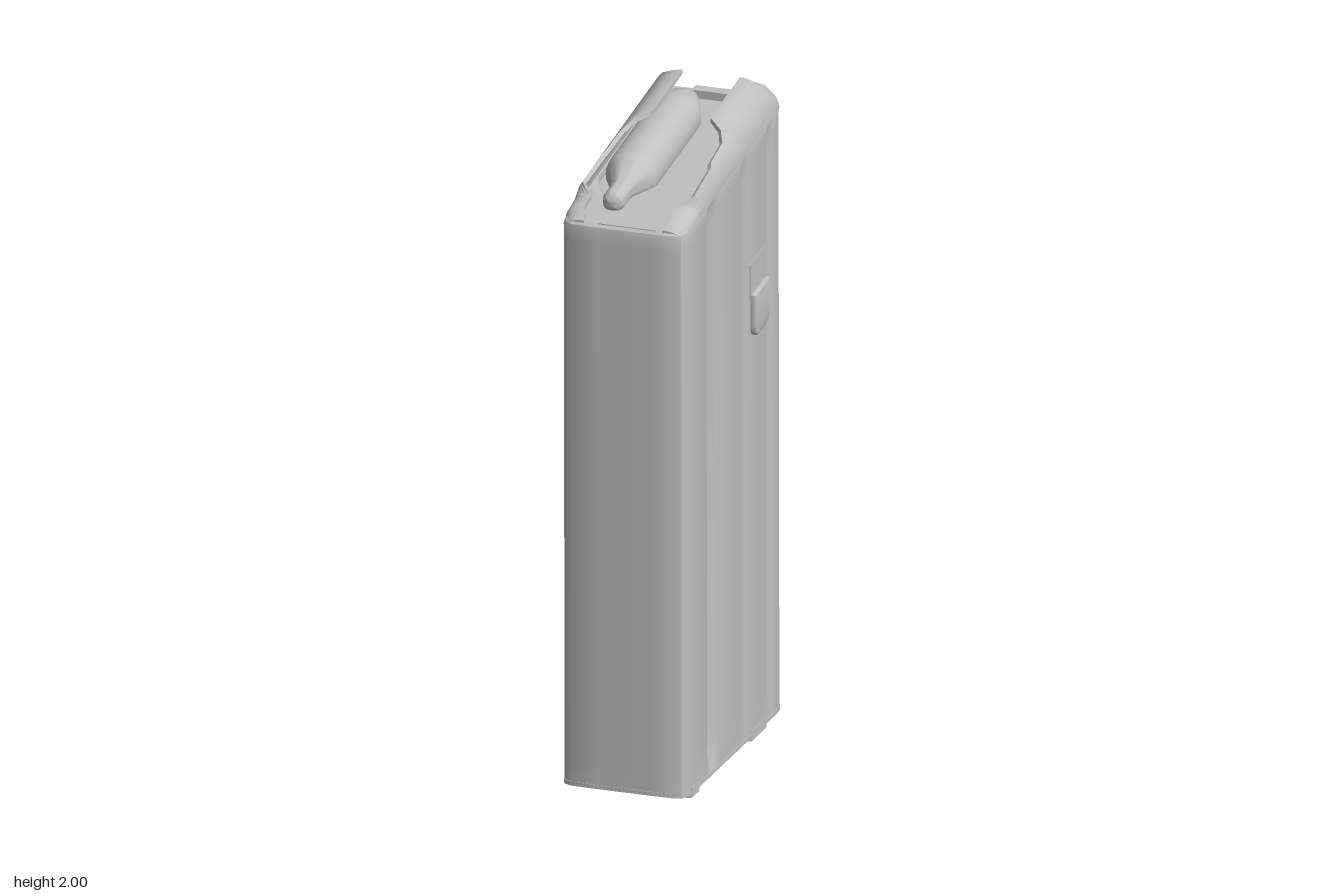
import * as THREE from 'three';
import { toCreasedNormals } from 'three/addons/utils/BufferGeometryUtils.js';

const CX = -0.01; // middle of the housing across x
const floorY = z => (z + 0.52) * 0.14; // sloping underside

// Half outline of the housing from back to front: [half width, z, groove depth]
const HALF = [
  [0.08, -0.46, 0], [0.145, -0.458, 0], [0.17, -0.44, 0], [0.182, -0.41, 0], [0.185, -0.36, 0],
  [0.185, -0.345, 0], [0.185, -0.325, 0.011], [0.185, -0.305, 0.011], [0.185, -0.275, 0],
  [0.185, -0.105, 0], [0.185, -0.08, 0.009], [0.185, -0.055, 0.009], [0.185, -0.03, 0],
  [0.185, 0.19, 0], [0.185, 0.215, 0.014], [0.185, 0.235, 0.032], [0.185, 0.262, 0.032],
  [0.185, 0.282, 0.014], [0.185, 0.305, 0], [0.185, 0.45, 0], [0.182, 0.485, 0],
  [0.172, 0.508, 0], [0.15, 0.52, 0], [0.08, 0.522, 0],
];

// Full ring of [x, z] with grooves faded by g and the wall moved in by inset
function outline(g, inset = 0) {
  const side = s => HALF.map(([w, z, d]) =>
    [s * (w - d * g) * (1 - inset / 0.185), z * (1 - inset / 0.49)]);
  return [...side(-1), ...side(1).reverse()];
}

// Skin through rings of [x, y, z], with optional end caps
function loft(rows, { capStart = false, capEnd = false, crease = 0.6 } = {}) {
  const pos = rows.flat(2), n = rows[0].length, idx = [];
  for (let r = 0; r < rows.length - 1; r++) {
    for (let i = 0; i < n; i++) {
      const a = r * n + i, b = r * n + (i + 1) % n;
      idx.push(a, b, b + n, a, b + n, a + n);
    }
  }
  const cap = (r, flip) => {
    const c = pos.length / 3;
    for (let k = 0; k < 3; k++) pos.push(rows[r].reduce((t, p) => t + p[k], 0) / n);
    for (let i = 0; i < n; i++) {
      const a = r * n + i, b = r * n + (i + 1) % n;
      flip ? idx.push(c, b, a) : idx.push(c, a, b);
    }
  };
  if (capStart) cap(0, true);
  if (capEnd) cap(rows.length - 1, false);
  const geo = new THREE.BufferGeometry();
  geo.setAttribute('position', new THREE.Float32BufferAttribute(pos, 3));
  geo.setIndex(idx);
  return toCreasedNormals(geo, crease);
}

export function createModel() {
  const model = new THREE.Group();
  model.name = 'magazine';
  const metal = new THREE.MeshStandardMaterial({ color: 0xc0c0c0, side: THREE.DoubleSide });
  metal.name = 'grey metal';
  const add = (name, geo) => {
    const mesh = new THREE.Mesh(geo, metal);
    mesh.name = name;
    model.add(mesh);
    return mesh;
  };
  const box = (name, w, h, d, x, y, z) => {
    const mesh = add(name, new THREE.BoxGeometry(w, h, d));
    mesh.position.set(x, y, z);
    return mesh;
  };
  const lean = y => (y - 1.9) * 0.005;

  // Housing: the walls rise from the sloping floor, then fold over the rim
  const ring = (y, g, inset, fromFloor) => outline(g, inset).map(([x, z]) => {
    const h = fromFloor ? floorY(z) + y : y;
    return [CX + x, h, z + lean(h)];
  });
  add('housing', loft([
    ring(0.008, 0, 0, true), ring(0.06, 0.5, 0, true), ring(0.13, 1, 0, true),
    ring(1.8, 1, 0), ring(1.85, 0.8, 0), ring(1.88, 0.3, 0), ring(1.895, 0, 0.003),
    ring(1.9, 0, 0.008), ring(1.898, 0, 0.018), ring(1.86, 0.8, 0.018), ring(1.8, 1, 0.018),
  ]));

  // Floor plate with a tongue at the back and side tabs folded beneath it
  add('floorPlate', loft([ring(-0.002, 0, -0.002, true), ring(0.01, 0, -0.002, true)],
    { capStart: true, capEnd: true }));
  const slope = -Math.atan(0.14);
  box('floorTongue', 0.13, 0.012, 0.07, CX, 0.008, -0.487).rotation.x = slope;
  for (const s of [-1, 1]) {
    for (const [z, len] of [[0.415, 0.08], [-0.205, 0.15]]) {
      box('floorTab', 0.04, 0.014, len, CX + s * 0.163, floorY(z) - 0.006, z).rotation.x = slope;
      box('floorTabSide', 0.006, 0.03, len, CX + s * 0.184, floorY(z) + 0.003, z).rotation.x = slope;
    }
  }

  // Back rib: a wide backing layer and a narrower raised spine
  const rib = (name, w1, w2, z1, z2, top) => {
    const row = y => [[-w1, z1], [-w2, z2], [w2, z2], [w1, z1]]
      .map(([x, z]) => [CX + x, y ?? Math.max(floorY(z), 0.004), z + lean(y ?? 0)]).reverse();
    add(name, loft([row(), row(top)], { capStart: true, capEnd: true, crease: 0.2 }));
  };
  rib('backLayer', 0.088, 0.08, -0.44, -0.474, 1.9);
  rib('backSpine', 0.07, 0.062, -0.46, -0.502, 1.81);

  // Feed lips: curved strips along each wall: [z, base half width, sweep, reach, rise]
  const STATIONS = [
    [-0.415, 0.183, 6, 0.1, 0.105], [-0.4, 0.185, 22, 0.1, 0.105], [-0.38, 0.185, 48, 0.1, 0.105],
    [-0.355, 0.185, 90, 0.1, 0.105], [-0.065, 0.185, 90, 0.1, 0.105], [-0.02, 0.185, 64, 0.1, 0.105],
    [0.03, 0.185, 50, 0.1, 0.105], [0.16, 0.185, 46, 0.1, 0.105], [0.18, 0.185, 41, 0.1, 0.105],
    [0.355, 0.185, 36, 0.1, 0.105], [0.385, 0.185, 90, 0.055, 0.037], [0.46, 0.183, 90, 0.055, 0.035],
    [0.508, 0.165, 90, 0.05, 0.012],
  ];
  const STEPS = 8, WALL = 0.013;
  for (const s of [-1, 1]) {
    const rows = STATIONS.map(([z, base, sweep, reach, rise]) => {
      const arc = t => Array.from({ length: STEPS + 1 }, (_, i) => {
        const a = THREE.MathUtils.degToRad(sweep) * i / STEPS;
        const x = base - reach + (reach - t) * Math.cos(a);
        return [CX + s * x, 1.89 + Math.max(rise + 0.005 - t, 0.002) * Math.sin(a), z];
      });
      const loop = [...arc(0), ...arc(WALL).reverse()];
      return s > 0 ? loop : loop.reverse();
    });
    add(s > 0 ? 'leftFeedLip' : 'rightFeedLip', loft(rows, { capStart: true, capEnd: true, crease: 0.5 }));
  }

  // Follower: flat platform with a raised tapering guide on one side
  const plate = new THREE.Shape(outline(0.95, 0.015).map(([x, z]) => new THREE.Vector2(x, -z)));
  const follower = add('follower', new THREE.ShapeGeometry(plate));
  follower.rotation.x = -Math.PI / 2;
  follower.position.set(CX, 1.875, 0);
  box('followerFrontStep', 0.17, 0.016, 0.012, CX, 1.88, 0.47);
  const profile = [
    [0, -0.4], [0.02, -0.396], [0.036, -0.382], [0.046, -0.36], [0.075, -0.275], [0.077, -0.255],
    [0.077, 0.14], [0.075, 0.165], [0.037, 0.245], [0.033, 0.265], [0.033, 0.33],
    [0.028, 0.348], [0.016, 0.358], [0, 0.361],
  ].map(([r, z]) => new THREE.Vector2(r, z));
  const guide = add('followerGuide', toCreasedNormals(new THREE.LatheGeometry(profile, 28), 0.6));
  guide.rotation.x = Math.PI / 2;
  guide.position.set(-0.09, 1.895, 0);

  // Catch stop on the left wall: flat window panel over a rounded boss
  box('catchPanel', 0.008, 0.104, 0.154, 0.173, 1.479, -0.195);
  const boss = new THREE.Shape();
  boss.moveTo(0.13, 1.43);
  boss.lineTo(0.13, 1.335);
  boss.quadraticCurveTo(0.132, 1.306, 0.16, 1.304);
  boss.lineTo(0.23, 1.304);
  boss.quadraticCurveTo(0.258, 1.306, 0.26, 1.335);
  boss.lineTo(0.26, 1.43);
  const bossGeo = new THREE.ExtrudeGeometry(boss, {
    depth: 0.012, bevelThickness: 0.007, bevelSize: 0.004, bevelSegments: 3, curveSegments: 8,
  });
  bossGeo.rotateY(Math.PI / 2);
  add('catchBoss', toCreasedNormals(bossGeo, 0.7)).position.x = 0.172;

  return model;
}
